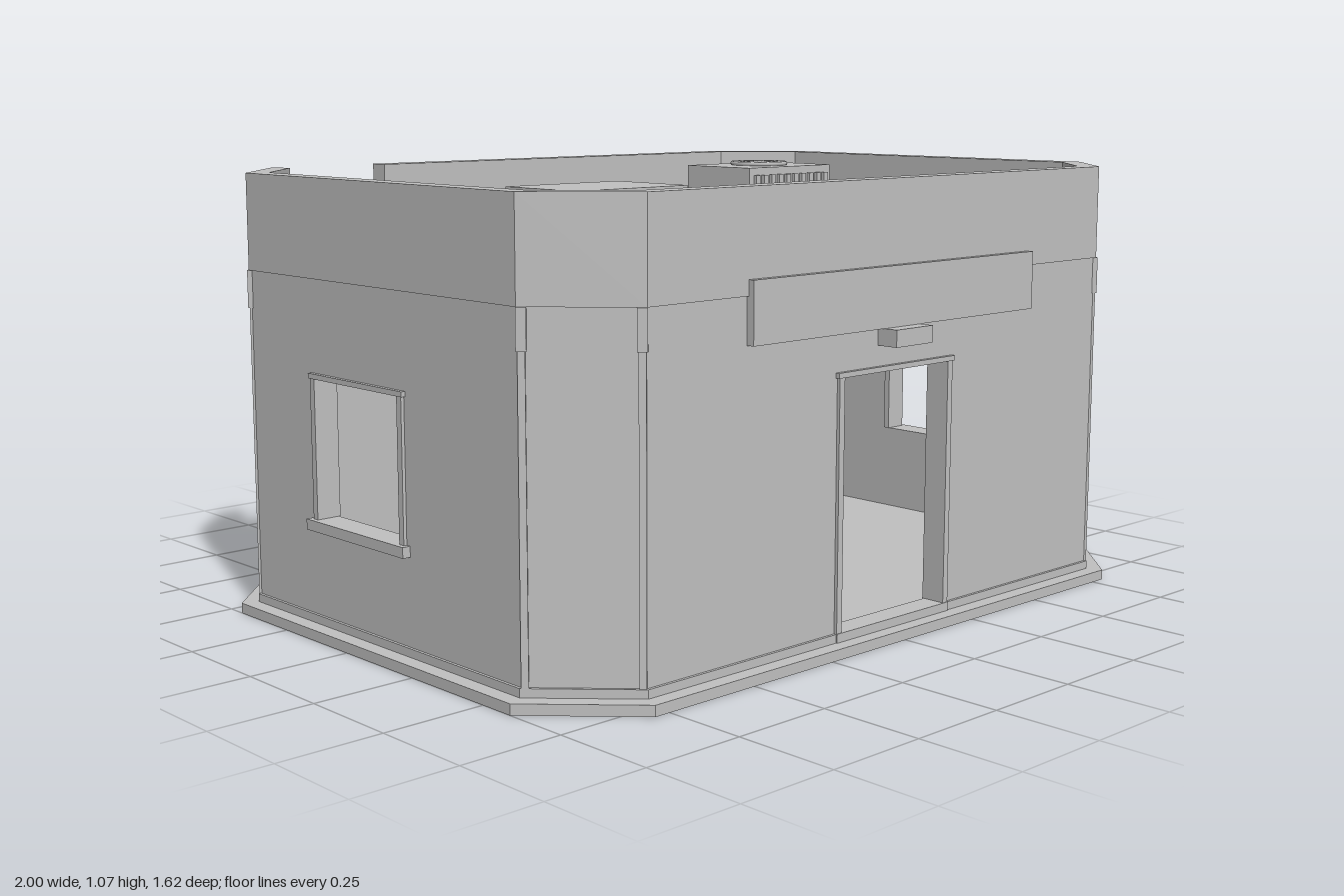
import * as THREE from 'three';

const grey = new THREE.MeshStandardMaterial({ color: 0xc0c0c0 });
grey.name = 'plain grey';

export function createModel() {
  const root = new THREE.Group();
  root.name = 'guardBuilding';

  const add = (name, geo, parent = root) => {
    const m = new THREE.Mesh(geo, grey);
    m.name = name;
    parent.add(m);
    return m;
  };
  // Box given by its min and max on each axis
  const box = (name, x0, x1, y0, y1, z0, z1, parent = root) => {
    const m = add(name, new THREE.BoxGeometry(x1 - x0, y1 - y0, z1 - z0), parent);
    m.position.set((x0 + x1) / 2, (y0 + y1) / 2, (z0 + z1) / 2);
    return m;
  };
  // Chamfered rectangle outline as [x, z], inset by d from the plinth edge
  const outline = (d) => {
    const c = 0.21 - 0.586 * d, x = 1 - d, f = 0.8 - d, b = -0.66 + d;
    return [[-x + c, f], [x - c, f], [x, f - c], [x, b + c],
      [x - c, b], [-x + c, b], [-x, b + c], [-x, f - c]];
  };
  const slab = (name, pts, y0, y1) => {
    const shape = new THREE.Shape(pts.map(([x, z]) => new THREE.Vector2(x, -z)));
    const geo = new THREE.ExtrudeGeometry(shape, { depth: y1 - y0, bevelEnabled: false });
    geo.rotateX(-Math.PI / 2);
    add(name, geo).position.y = y0;
  };

  // Plinth, floor and roof
  slab('plinth', outline(0), 0, 0.025);
  slab('floor', outline(0.038), 0.025, 0.045);
  slab('roof', outline(0.046), 0.82, 0.88);

  // Eight walls, with openings for two doors and two windows
  const T = 0.05, BASE = 0.045, TOP = 0.835;
  const door = { u: 0, w: 0.37, y0: BASE, y1: 0.63 };
  const windowOf = (u) => ({ u, w: 0.33, y0: 0.275, y1: 0.605 });
  const openings = { 0: door, 4: door, 2: windowOf(-0.07), 6: windowOf(-0.07) };
  const corners = outline(0.045);
  corners.forEach(([ax, az], i) => {
    const [bx, bz] = corners[(i + 1) % 8];
    const dx = bx - ax, dz = bz - az, half = Math.hypot(dx, dz) / 2;
    const wall = new THREE.Group();
    wall.name = i % 2 ? 'cornerWall' : 'mainWall';
    wall.position.set((ax + bx) / 2, 0, (az + bz) / 2);
    wall.rotation.y = Math.atan2(-dz, dx);
    root.add(wall);

    const o = openings[i];
    const shape = new THREE.Shape();
    shape.moveTo(-half, BASE);
    if (o === door) {
      shape.lineTo(-o.w / 2, BASE); shape.lineTo(-o.w / 2, o.y1);
      shape.lineTo(o.w / 2, o.y1); shape.lineTo(o.w / 2, BASE);
    }
    shape.lineTo(half, BASE); shape.lineTo(half, TOP); shape.lineTo(-half, TOP);
    shape.closePath();
    if (o && o !== door) {
      // The wall on the -x side has its window in the middle of the depth
      const u = i === 2 ? -0.07 : -0.07 + 0.07;
      o.u = i === 2 ? u : -0.07;
      const l = o.u - o.w / 2, r = o.u + o.w / 2;
      const hole = new THREE.Path();
      hole.moveTo(l, o.y0); hole.lineTo(l, o.y1); hole.lineTo(r, o.y1); hole.lineTo(r, o.y0);
      hole.closePath();
      shape.holes.push(hole);
    }
    const geo = new THREE.ExtrudeGeometry(shape, { depth: T, bevelEnabled: false });
    geo.translate(0, 0, -T);
    add('wallPanel', geo, wall);

    // Frame around the opening
    if (o) {
      const l = o.u - o.w / 2, r = o.u + o.w / 2, f = 0.013;
      box('frameSide', l - f, l + 0.004, o.y0, o.y1, -T - 0.004, 0.008, wall);
      box('frameSide', r - 0.004, r + f, o.y0, o.y1, -T - 0.004, 0.008, wall);
      box('frameHead', l - f - 0.005, r + f + 0.005, o.y1, o.y1 + 0.012, -T - 0.004, 0.01, wall);
      if (o === door) box('threshold', l - f, r + f, 0.025, 0.046, -T, 0.01, wall);
      else box('windowSill', l - 0.025, r + 0.025, 0.25, 0.275, -T, 0.02, wall);
    }
    // Sign board and lamp over each door
    if (o === door) {
      box('signBoard', -0.485, 0.485, 0.73, 0.87, 0, 0.02, wall);
      box('doorLamp', -0.063, 0.063, 0.69, 0.73, 0, 0.055, wall);
    }
    // Vertical trim and bracket at the wall edges
    if (i % 2) for (const s of [-1, 1]) {
      const e = s * (half - 0.008);
      box('cornerTrim', e - 0.008, e + 0.008, BASE, TOP, -0.01, 0.006, wall);
      box('cornerBracket', e - 0.011, e + 0.011, 0.745, TOP, -0.01, 0.009, wall);
    }
  });

  // Parapet ring, open at the back where the ladder arrives
  const outer = outline(0.04), inner = outline(0.09);
  const zo = outer[4][1], zi = inner[4][1], gapL = -0.765, gapR = -0.47;
  const around = (p) => [p[5], p[6], p[7], p[0], p[1], p[2], p[3], p[4]];
  slab('parapet', [
    [gapL, zo], ...around(outer), [gapR, zo],
    [gapR, zi], ...around(inner).reverse(), [gapL + 0.01, zi],
  ], TOP, 1.065);

  // Open front door leaf
  box('doorLeaf', -0.205, -0.187, 0.05, 0.625, 0.4, 0.72);

  // Canopy on two posts behind the back door
  box('canopy', -0.33, 0.33, 0.668, 0.692, -0.815, -0.61);
  for (const s of [-1, 1]) {
    box('canopyPost', s * 0.315 - 0.009, s * 0.315 + 0.009, 0, 0.67, -0.807, -0.789);
    // Row of small blocks beside the back door
    for (let i = 0; i < 5; i++) {
      const y = 0.09 + i * 0.105;
      box('wallBlock', s * 0.29 - 0.013, s * 0.29 + 0.013, y, y + 0.03, -0.626, -0.612);
    }
  }

  // Roof ladder
  const rod = (name, r, len) => add(name, new THREE.CylinderGeometry(r, r, len, 8));
  for (const x of [-0.71, -0.515]) {
    rod('ladderRail', 0.007, 0.985).position.set(x, 0.5075, -0.67);
    for (const y of [0.08, 0.32, 0.56, 0.8]) {
      box('ladderBracket', x - 0.005, x + 0.005, y - 0.005, y + 0.005, -0.67, -0.61);
    }
  }
  for (let i = 0; i < 13; i++) {
    const rung = rod('ladderRung', 0.005, 0.195);
    rung.rotation.z = Math.PI / 2;
    rung.position.set(-0.6125, 0.08 + i * 0.072, -0.67);
  }

  // Drain pipe on the back corner
  rod('drainPipe', 0.009, 0.82).position.set(0.955, 0.44, -0.51);
  for (const y of [0.12, 0.78]) box('pipeClip', 0.915, 0.955, y, y + 0.012, -0.515, -0.505);

  // Rooftop box and cooling unit with slats and fan
  box('roofBox', -0.7, -0.37, 0.88, 1.05, 0.22, 0.455);
  box('coolingUnit', 0.37, 0.69, 0.88, 1.045, -0.315, -0.075);
  for (let i = 0; i < 10; i++) {
    const x = 0.395 + i * 0.03;
    box('coolingSlat', x - 0.008, x + 0.008, 0.9, 1.025, -0.325, -0.065);
  }
  const fan = new THREE.Group();
  fan.name = 'fan';
  fan.position.set(0.53, 1.05, -0.195);
  root.add(fan);
  for (const r of [0.074, 0.045]) {
    add('fanRing', new THREE.TorusGeometry(r, 0.006, 6, 24), fan).rotation.x = Math.PI / 2;
  }
  for (const a of [0, Math.PI / 2]) {
    box('fanBar', -0.074, 0.074, -0.004, 0.004, -0.006, 0.006, fan).rotation.y = a;
  }
  add('fanHub', new THREE.CylinderGeometry(0.016, 0.016, 0.016, 12), fan);

  // Desk with drawers and a chair inside
  box('deskTop', 0.25, 0.8, 0.255, 0.275, -0.5, -0.25);
  box('deskDrawers', 0.27, 0.4, 0.045, 0.255, -0.48, -0.27);
  for (let i = 0; i < 3; i++) {
    const y = 0.065 + i * 0.063;
    box('drawerFront', 0.285, 0.385, y, y + 0.05, -0.487, -0.263);
  }
  box('deskSide', 0.77, 0.79, 0.045, 0.255, -0.48, -0.27);
  box('deskItem', 0.6, 0.7, 0.275, 0.32, -0.42, -0.34);
  box('chairSeat', 0.48, 0.62, 0.15, 0.165, -0.22, -0.08);
  box('chairBack', 0.48, 0.62, 0.165, 0.27, -0.09, -0.08);
  for (const x of [0.49, 0.61]) for (const z of [-0.21, -0.09]) {
    box('chairLeg', x - 0.006, x + 0.006, 0.045, 0.15, z - 0.006, z + 0.006);
  }

  return root;
}
